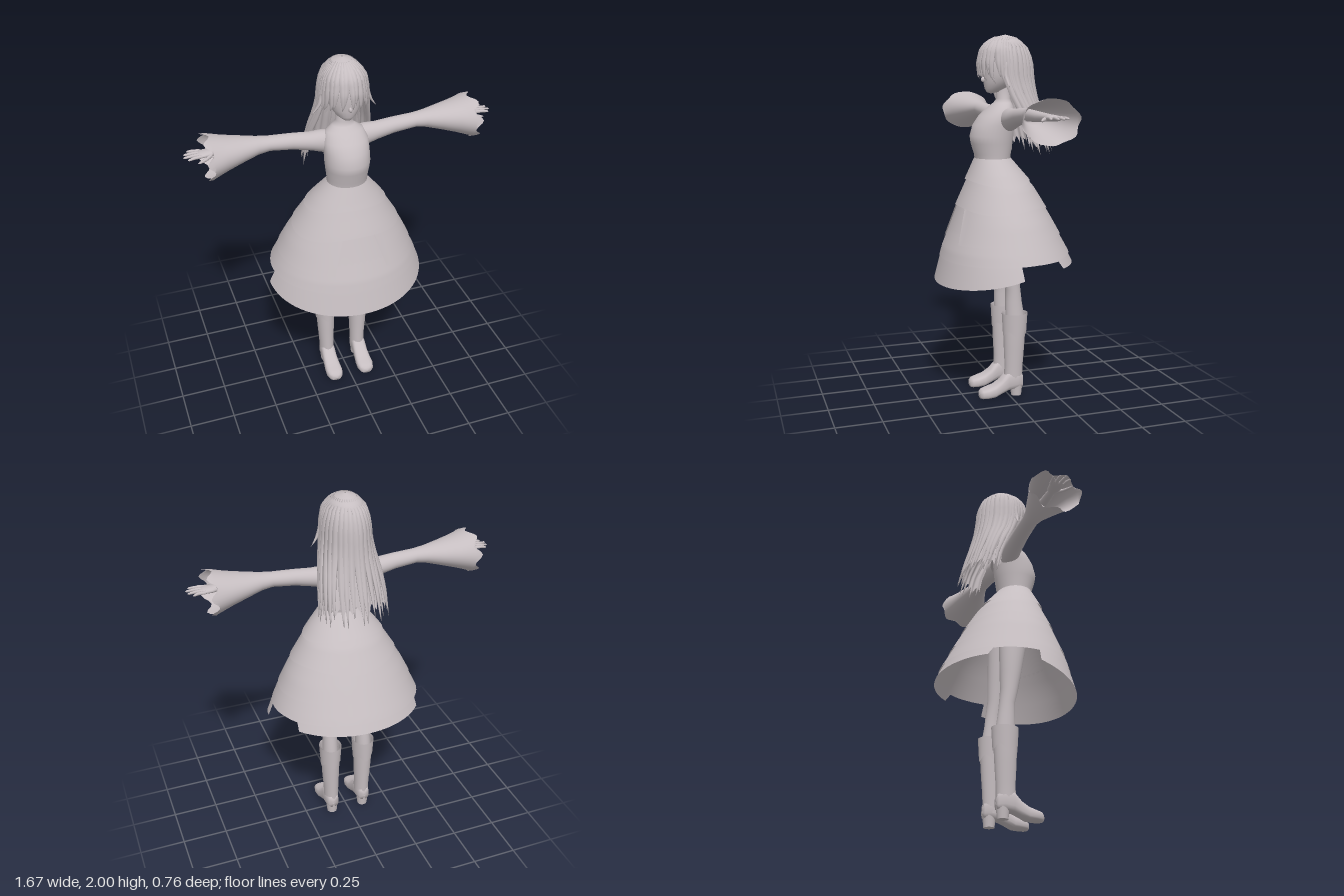
import * as THREE from 'three';
import { mergeVertices } from 'three/addons/utils/BufferGeometryUtils.js';

const { sin, cos, PI, abs, min, max } = Math;
const TAU = PI * 2;
const rad = THREE.MathUtils.degToRad;

// Smooth grid surface; fn(u, v) gives a point, u runs around and v along
function surface(nu, nv, fn) {
  const pos = [], idx = [];
  for (let j = 0; j <= nv; j++)
    for (let i = 0; i <= nu; i++) pos.push(...fn(i / nu, j / nv));
  for (let j = 0; j < nv; j++)
    for (let i = 0; i < nu; i++) {
      const a = j * (nu + 1) + i, b = a + nu + 1;
      idx.push(a, b, a + 1, a + 1, b, b + 1);
    }
  let g = new THREE.BufferGeometry();
  g.setAttribute('position', new THREE.Float32BufferAttribute(pos, 3));
  g.setIndex(idx);
  g = mergeVertices(g, 1e-5);
  g.computeVertexNormals();
  return g;
}

// Row of a table at a key in column 0 (keys rising or falling)
function lookup(table, key) {
  const dir = table[1][0] > table[0][0] ? 1 : -1;
  let i = 0;
  while (i < table.length - 2 && (key - table[i + 1][0]) * dir > 0) i++;
  const a = table[i], b = table[i + 1];
  const t = min(1, max(0, (key - a[0]) / (b[0] - a[0])));
  return a.map((v, k) => v + (b[k] - v) * t);
}

// Upright body, rows [y, centreX, radiusX, frontZ, backZ] from top to bottom
const upright = (rows, n = 24) => surface(n, rows.length - 1, (u, v) => {
  const [y, cx, rx, zf, zb] = rows[Math.round(v * (rows.length - 1))];
  const a = u * TAU;
  return [cx + rx * sin(a), y, (zf + zb) / 2 + (zf - zb) / 2 * cos(a)];
});

// Sideways limb, rows [x, y, z, radiusY, radiusZ] outward; end(a) ripples the last row
const sideways = (rows, n = 16, end = () => 0) => surface(n, rows.length - 1, (u, v) => {
  const k = Math.round(v * (rows.length - 1)), a = u * TAU;
  const [x, y, z, ry, rz] = rows[k];
  return [x + (k === rows.length - 1 ? end(a) : 0), y - ry * cos(a), z + rz * sin(a)];
});

// Mirror to the other side, keeping faces outward
function mirrored(g) {
  const m = g.clone().applyMatrix4(new THREE.Matrix4().makeScale(-1, 1, 1));
  m.setIndex(Array.from(g.index.array).reverse());
  return m;
}

// Skirt outline: [y, radiusX, frontZ, backZ]
const SKIRT = [
  [1.34, .108, .16, -.03], [1.25, .175, .19, -.1], [1.18, .222, .215, -.155], [1.1, .268, .245, -.2],
  [1, .325, .28, -.255], [.85, .395, .335, -.335], [.74, .443, .362, -.39], [.66, .47, .382, -.42]];
function skirtShell(th0, th1, top, hem, lift) {
  return surface(64, 12, (u, v) => {
    const a = th0 + (th1 - th0) * u;
    const y = top + (hem(a) - top) * v;
    const [, rx, zf, zb] = lookup(SKIRT, y);
    const k = lift * (.3 + .7 * v);
    return [(rx + k) * sin(a), y, (zf + zb) / 2 + ((zf - zb) / 2 + k) * cos(a)];
  });
}

// Hair outline: [y, radiusX, centreZ, frontZ, backZ]
const HAIR = [
  [2, .004, -.01, -.005, -.015], [1.99, .045, -.01, .045, -.06], [1.965, .08, -.005, .09, -.1],
  [1.92, .108, 0, .122, -.137], [1.85, .12, 0, .14, -.153], [1.78, .124, 0, .138, -.158],
  [1.7, .138, -.02, .085, -.168], [1.6, .16, -.07, .05, -.192], [1.5, .172, -.11, .02, -.222],
  [1.35, .18, -.145, 0, -.262]];
function hairAt(a, y, out = 0) {
  const [, rx, cz, zf, zb] = lookup(HAIR, y);
  const rz = cos(a) > 0 ? zf - cz : cz - zb;
  return [(rx + out) * sin(a), y, cz + (rz + out) * cos(a)];
}

// Tapered flat lock of hair following the hair outline
function lock(a0, a1, y0, y1, w, flare = 0) {
  return surface(6, 12, (u, v) => {
    const a = a0 + (a1 - a0) * v, f = u * TAU;
    const size = min(1, .3 + v * 3) * (1 - v ** 4);
    const p = hairAt(a, y0 + (y1 - y0) * v, .002 + flare * v ** 3);
    const across = sin(f) * w * size, out = cos(f) * .011 * size;
    return [p[0] + cos(a) * across + sin(a) * out, p[1], p[2] - sin(a) * across + cos(a) * out];
  });
}

export function createModel() {
  const model = new THREE.Group();
  const clay = new THREE.MeshStandardMaterial({ color: 0xc6bec1, side: THREE.DoubleSide });
  clay.name = 'warm grey';
  const add = (name, geo) => {
    const m = new THREE.Mesh(geo, clay);
    m.name = name;
    model.add(m);
  };
  const pair = (name, geo) => {
    add('left' + name, geo);
    add('right' + name, mirrored(geo));
  };

  // Torso and neck
  add('torso', upright([
    [1.73, 0, .036, .045, -.035], [1.66, 0, .038, .04, -.036], [1.638, 0, .06, .055, -.042],
    [1.615, 0, .1, .085, -.05], [1.57, 0, .12, .135, -.055], [1.52, 0, .121, .172, -.055],
    [1.46, 0, .121, .19, -.05], [1.42, 0, .117, .184, -.045], [1.36, 0, .109, .165, -.035],
    [1.32, 0, .108, .16, -.03]], 32));

  // Head with a small nose
  add('head', upright([
    [1.97, 0, .002, .002, -.002], [1.95, 0, .06, .07, -.08], [1.9, 0, .085, .105, -.1],
    [1.84, 0, .093, .118, -.1], [1.79, 0, .09, .115, -.085], [1.75, 0, .076, .112, -.05],
    [1.715, 0, .052, .106, -.01], [1.695, 0, .025, .096, .03], [1.688, 0, .002, .075, .07]]));
  add('nose', new THREE.SphereGeometry(1, 10, 8).scale(.009, .014, .014).translate(0, 1.762, .115));

  // Skirt: deep front shell, shorter back shell, overlapping tiers
  const split = rad(83);
  add('skirtFront', skirtShell(-split, split, 1.34, a => .66 + .08 * (a / split) ** 2, .002));
  add('skirtBack', skirtShell(split, TAU - split, 1.34,
    a => abs(a - PI) < rad(55) ? .77 : .81, -.003));
  const notch = a => abs(a > PI ? a - TAU : a) < rad(17);
  const hems = [a => 1.21 + .015 * cos(2 * a), a => 1.07 + .012 * cos(3 * a),
    a => notch(a) ? 1.1 : .91 - .02 * cos(a), a => .81 - .015 * cos(a)];
  hems.forEach((hem, i) => add('skirtTier' + (i + 1),
    skirtShell(0, TAU, [1.34, 1.23, 1.16, .95][i], hem, [.014, .012, .009, .005][i])));

  // Hair: crown cap and long curtain with a jagged hem
  add('hairCap', surface(64, 12, (u, v) => {
    const a = u * TAU;
    return hairAt(a, 2 - .14 * v, .0015 * cos(a * 24) * v);
  }));
  add('hairCurtain', surface(96, 16, (u, v) => {
    const a = rad(72) + rad(216) * u;
    const end = 1.4 + .035 * abs(sin(u * PI * 14)) + .03 * abs(cos(a));
    return hairAt(a, 1.88 + (end - 1.88) * v, .005 * v * cos(u * TAU * 14) - .004);
  }));
  for (let i = 0; i < 19; i++) {
    const a = rad(78 + i * 204 / 18);
    add('backLock', lock(a, a + .05 * sin(i * 2.3), 1.985, 1.355 + .025 * (1 + sin(i * 4.1)), .021, .008));
  }
  for (let i = 0; i < 11; i++) {
    const a = rad(-62 + i * 12.4);
    add('fringeLock', lock(a * .9, a + .08 * sin(i * 2.7), 1.99, 1.785 + .02 * sin(i * 3.3) - .03 * abs(a), .02));
  }
  [[66, 1.7], [74, 1.62], [82, 1.54], [90, 1.46]].forEach(([d, y]) =>
    pair('SideLock', lock(rad(d), rad(d + 8), 1.975, y, .017)));
  pair('FlickLock', lock(rad(80), rad(76), 1.88, 1.72, .014, .045));

  // Arms and flared sleeves with a pointed hem
  pair('Sleeve', sideways([
    [.07, 1.545, 0, .062, .055], [.12, 1.553, 0, .06, .055], [.18, 1.562, 0, .049, .05],
    [.28, 1.578, 0, .042, .046], [.4, 1.588, 0, .038, .045], [.46, 1.587, 0, .046, .055],
    [.54, 1.582, 0, .064, .082], [.63, 1.576, .002, .086, .112], [.7, 1.572, .004, .107, .14],
    [.72, 1.571, .005, .111, .146]], 42, a => .02 * cos(a * 7)));
  pair('Forearm', sideways([
    [.4, 1.588, 0, .032, .034], [.55, 1.588, 0, .025, .027], [.68, 1.59, 0, .017, .021],
    [.71, 1.59, 0, .016, .034], [.75, 1.59, 0, .014, .038], [.768, 1.59, 0, .004, .03]]));
  [-.031, -.01, .011, .032].forEach((z, i) => {
    const tip = [.812, .832, .837, .82][i];
    pair('Finger', sideways([
      [.745, 1.591, z, .009, .01], [.785, 1.593, z * 1.2, .008, .009],
      [tip - .008, 1.59, z * 1.4, .006, .006], [tip, 1.589, z * 1.4, .001, .001]], 8));
  });
  pair('Thumb', sideways([
    [.695, 1.587, .025, .01, .012], [.73, 1.582, .052, .009, .01],
    [.765, 1.58, .07, .006, .007], [.775, 1.58, .075, .001, .001]], 8));

  // Legs
  pair('Leg', upright([
    [1.2, .06, .003, .05, .04], [1.15, .075, .075, .12, -.04], [1, .085, .074, .1, -.055],
    [.8, .093, .058, .062, -.056], [.7, .097, .049, .042, -.054], [.62, .1, .044, .022, -.062],
    [.55, .101, .041, .022, -.07], [.47, .102, .044, .022, -.083], [.4, .102, .045, .02, -.085]]));

  // Boots: shaft, folded cuff, foot and heel
  pair('BootShaft', upright([
    [.475, .101, .056, .036, -.097], [.38, .101, .053, .033, -.092], [.28, .1, .049, .03, -.086],
    [.18, .098, .043, .025, -.079], [.12, .097, .042, .028, -.077], [.07, .097, .04, .025, -.075]]));
  pair('BootCuff', surface(36, 4, (u, v) => {
    const a = u * TAU, y = .48 - v * (.115 + .015 * cos(a * 4));
    const k = .007 * (1 - v);
    return [.101 + (.057 + k) * sin(a), y, -.031 + (.066 + k) * cos(a)];
  }));
  const foot = [
    [-.078, .004, .07, .09], [-.074, .03, .045, .125], [-.04, .041, .04, .15], [.01, .042, .033, .145],
    [.05, .043, .018, .1], [.09, .047, .002, .073], [.13, .049, 0, .06], [.16, .041, 0, .052],
    [.173, .026, .003, .042], [.176, .002, .02, .024]];
  pair('Foot', surface(20, foot.length - 1, (u, v) => {
    const [z, w, lo, hi] = foot[Math.round(v * (foot.length - 1))];
    const a = u * TAU, sq = t => Math.sign(t) * abs(t) ** .7;
    return [.098 + w * sq(sin(a)), (lo + hi) / 2 + (hi - lo) / 2 * sq(cos(a)), z];
  }));
  pair('Heel', new THREE.CylinderGeometry(.036, .029, .07, 16).translate(.098, .035, -.042));

  return model;
}
